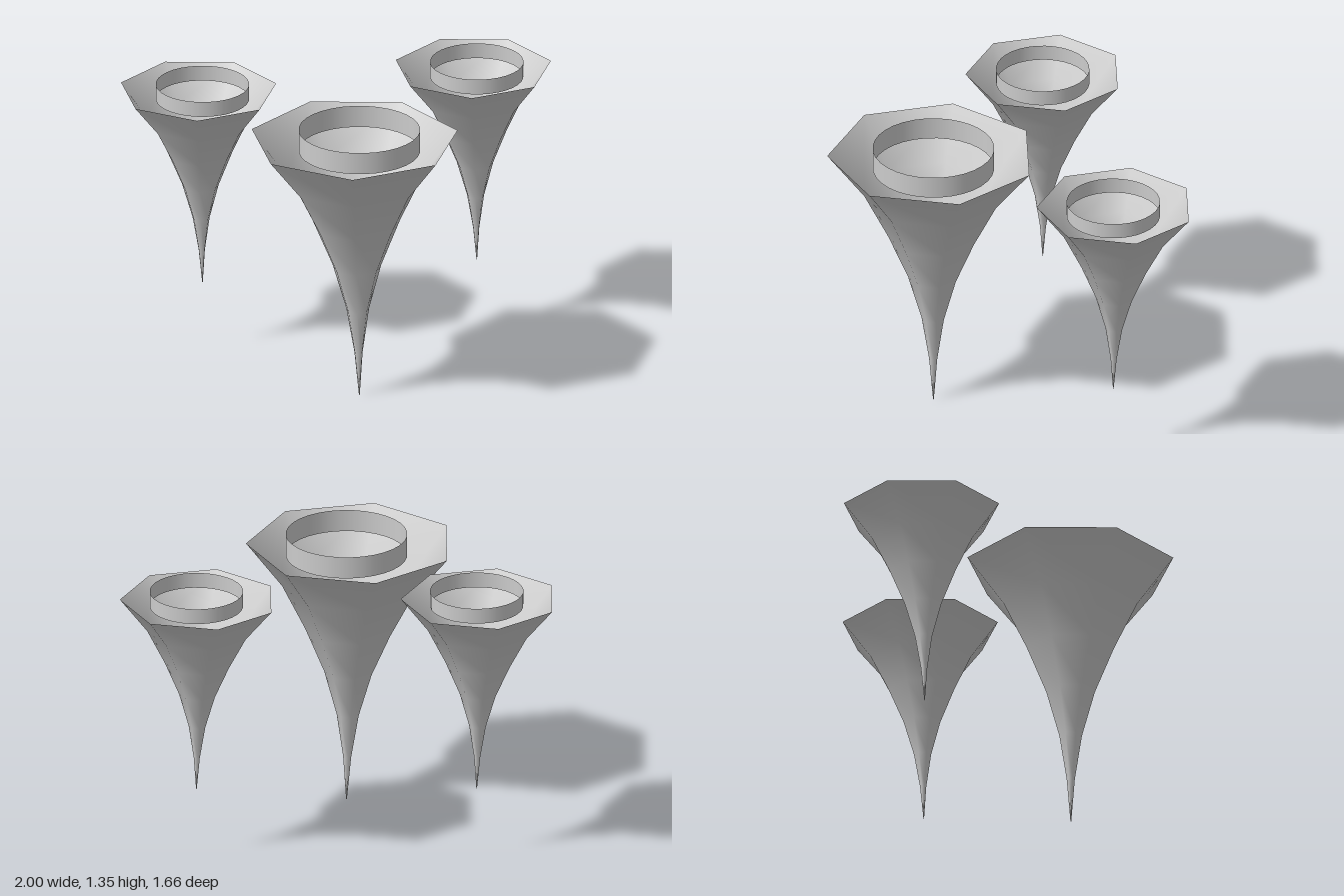
import * as THREE from 'three';

const material = new THREE.MeshStandardMaterial({ color: 0xcccccc, side: THREE.DoubleSide });

// Flare of the funnel: share of the rim radius at equal steps from tip to rim
const FLARE = [0.004, 0.04, 0.11, 0.236, 0.424, 0.65, 1];

// Seven-sided open funnel; the rim is slightly off-centre from the tip
function funnel(radius, height, driftX, driftZ) {
  const steps = FLARE.length - 1;
  const profile = FLARE.map((f, i) => new THREE.Vector2(f * radius, (height * i) / steps));
  const geometry = new THREE.LatheGeometry(profile, 7, Math.PI - 0.045);
  const p = geometry.attributes.position;
  for (let i = 0; i < p.count; i++) {
    const t = p.getY(i) / height;
    p.setX(i, p.getX(i) + driftX * t);
    p.setZ(i, p.getZ(i) + driftZ * t);
  }
  return new THREE.Mesh(geometry, material);
}

// Thin open collar that sits in the funnel mouth
function collar(radius, bottom, top) {
  const geometry = new THREE.CylinderGeometry(radius, radius, top - bottom, 32, 1, true);
  geometry.translate(0, (bottom + top) / 2, 0);
  return new THREE.Mesh(geometry, material);
}

const SPIKES = [
  { name: 'largeFunnel', x: -0.225, z: 0.384, tip: 0, rim: 1.303, radius: 0.495, drift: [-0.022, -0.009], ring: [0.285, 1.243, 1.35] },
  { name: 'backFunnel', x: -0.626, z: -0.441, tip: 0.343, rim: 1.315, radius: 0.373, drift: [-0.012, -0.019], ring: [0.219, 1.275, 1.35] },
  { name: 'sideFunnel', x: 0.64, z: -0.089, tip: 0.343, rim: 1.315, radius: 0.373, drift: [-0.009, -0.02], ring: [0.219, 1.275, 1.35] },
];

export function createModel() {
  const model = new THREE.Group();
  model.name = 'funnelCluster';
  for (const s of SPIKES) {
    const group = new THREE.Group();
    group.name = s.name;
    group.position.set(s.x, 0, s.z);

    const body = funnel(s.radius, s.rim - s.tip, ...s.drift);
    body.name = 'funnelBody';
    body.position.y = s.tip;

    const ring = collar(...s.ring);
    ring.name = 'mouthRing';

    group.add(body, ring);
    model.add(group);
  }
  return model;
}
